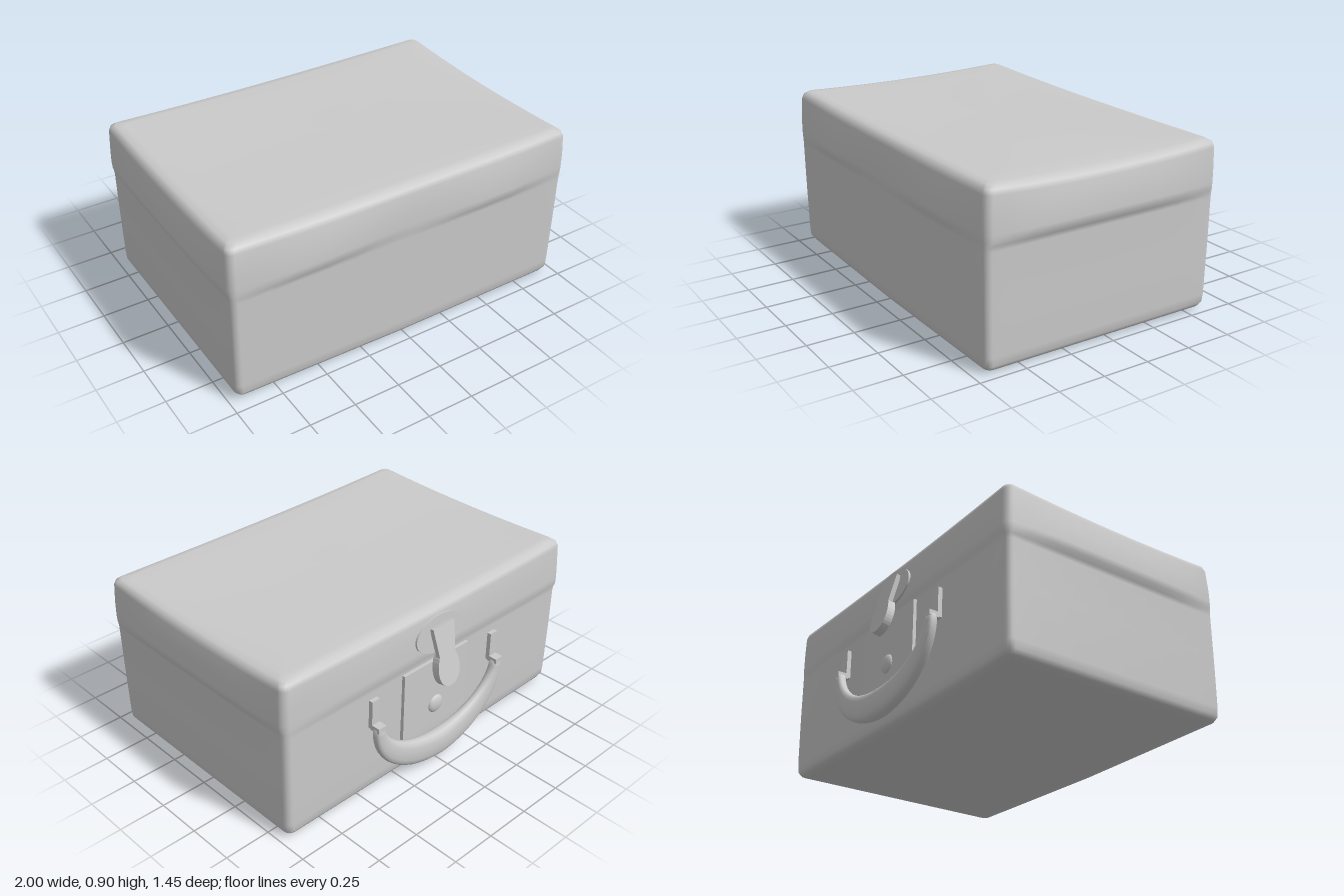
import * as THREE from 'three';

const grey = new THREE.MeshStandardMaterial({ color: 0xcacaca });
grey.name = 'grey';

// Smooth skin through rings of points that all have the same count
function loft(rings) {
  const n = rings[0].length, index = [];
  for (let i = 0; i < rings.length - 1; i++) {
    for (let j = 0; j < n; j++) {
      const a = i * n + j, b = i * n + (j + 1) % n;
      index.push(a, a + n, b, b, a + n, b + n);
    }
  }
  const g = new THREE.BufferGeometry();
  g.setAttribute('position', new THREE.Float32BufferAttribute(rings.flat(2), 3));
  g.setIndex(index);
  g.computeVertexNormals();
  return g;
}

// Rounded rectangle in plan, with points along each side
function planRing([y, hx, zb, zf, bulge = 0]) {
  const r = Math.min(0.035, hx * 0.5, (zf - zb) * 0.25), corners = [];
  const centres = [[hx - r, zf - r], [-hx + r, zf - r], [-hx + r, zb + r], [hx - r, zb + r]];
  centres.forEach(([cx, cz], k) => {
    const arc = [];
    for (let i = 0; i <= 4; i++) {
      const a = (k + i / 4) * Math.PI / 2;
      arc.push([cx + r * Math.cos(a), cz + r * Math.sin(a)]);
    }
    corners.push(arc);
  });
  const ring = [];
  corners.forEach((arc, k) => {
    ring.push(...arc);
    const p = arc[4], q = corners[(k + 1) % 4][0];
    for (let i = 1; i < 12; i++) {
      ring.push([p[0] + (q[0] - p[0]) * i / 12, p[1] + (q[1] - p[1]) * i / 12]);
    }
  });
  const zm = (zb + zf) / 2, hz = (zf - zb) / 2;
  return ring.map(([x, z]) => {
    // Lip swells along each side, fades at the corners and waves along the front
    const u = x / hx, v = (z - zm) / hz;
    const px = x + Math.sign(x) * bulge * u ** 8 * (1 - v ** 4);
    const swell = z > 0
      ? bulge * (0.6 - 0.4 * Math.cos(x * 5.5)) * (1 - u ** 4)
      : -bulge * 0.5 * (1 - Math.max(u, 0) ** 4);
    // Slightly worn: lifted bottom corners, raised top corners, one end dropped
    const w = ((z - 0.04) / 0.65) ** 2;
    let h = y;
    if (y < 0.1) h += 0.02 * Math.max(0, -x) + 0.006 * Math.max(0, x);
    if (y > 0.84) h += (x > 0 ? 0.01 : 0.018) * x * x * w - (x > 0.8 ? 0.012 * (1 - w) : 0);
    return [px, h, z + swell * v ** 8];
  });
}

function add(parent, name, geometry, x = 0, y = 0, z = 0) {
  const m = new THREE.Mesh(geometry, grey);
  m.name = name;
  m.position.set(x, y, z);
  parent.add(m);
  return m;
}

// Curved carrying handle, thick in the middle
function handleGeometry() {
  const rings = [], steps = 28;
  const square = v => Math.sign(v) * Math.abs(v) ** 0.75;
  for (let i = -1; i <= steps + 1; i++) {
    const t = Math.min(Math.max(i, 0), steps) / steps;
    const a = (t - 0.5) * Math.PI, c = Math.cos(a), s = Math.sin(a);
    const cap = i < 0 || i > steps ? 0.001 : 1;
    const tan = new THREE.Vector2(0.43 * c, 0.3 * s).normalize();
    const h = (0.026 + 0.05 * c) * cap, d = (0.026 + 0.018 * (1 - Math.abs(s))) * cap;
    const ring = [];
    for (let j = 0; j < 16; j++) {
      const b = j / 16 * Math.PI * 2, u = h * square(Math.cos(b));
      ring.push([
        -0.005 + 0.43 * s + tan.y * u,
        0.415 - 0.305 * c - tan.x * u,
        -0.664 - 0.004 * c + d * square(Math.sin(b)),
      ]);
    }
    rings.push(ring);
  }
  return loft(rings);
}

export function createModel() {
  const model = new THREE.Group();
  model.name = 'case';

  // Case body and lid: height, half width, back z, front z, lip swelling
  const profile = [
    [0.003, 0.0002, 0.0398, 0.0402], [0.003, 0.5, -0.3, 0.36], [0.005, 0.91, -0.56, 0.64],
    [0.012, 0.952, -0.598, 0.682], [0.035, 0.967, -0.612, 0.696], [0.08, 0.97, -0.615, 0.698],
    [0.35, 0.972, -0.619, 0.702], [0.6, 0.973, -0.62, 0.704], [0.625, 0.974, -0.62, 0.704, 0.004],
    [0.645, 0.976, -0.62, 0.704, 0.02], [0.68, 0.977, -0.62, 0.705, 0.023],
    [0.76, 0.977, -0.62, 0.704, 0.014], [0.85, 0.974, -0.619, 0.698, 0.005],
    [0.875, 0.968, -0.612, 0.688], [0.891, 0.948, -0.59, 0.667], [0.896, 0.91, -0.55, 0.63],
    [0.894, 0.8, -0.45, 0.52], [0.893, 0.4, -0.2, 0.26], [0.893, 0.0002, 0.0398, 0.0402],
  ];
  add(model, 'caseBody', loft(profile.map(planRing)));

  // Handle with its two mounts
  add(model, 'handle', handleGeometry());
  for (const side of [-1, 1]) {
    const x = -0.005 + side * 0.43;
    add(model, 'handleMount', new THREE.BoxGeometry(0.05, 0.16, 0.026), x, 0.485, -0.63);
    add(model, 'handleHook', new THREE.BoxGeometry(0.05, 0.03, 0.058), x, 0.415, -0.661);
  }

  // Lock plate and stud
  add(model, 'lockPlate', new THREE.BoxGeometry(0.46, 0.39, 0.024), -0.005, 0.405, -0.626);
  const stud = add(model, 'lockStud', new THREE.SphereGeometry(0.05, 16, 10), -0.005, 0.33, -0.637);
  stud.scale.z = 0.4;

  // Oval hinge plate, leaning with the lid
  const oval = new THREE.CylinderGeometry(1, 1, 0.03, 28).rotateX(Math.PI / 2).scale(0.165, 0.1, 1);
  add(model, 'hingePlate', oval, -0.015, 0.75, -0.623).rotation.x = 0.06;

  // Hasp sloping out from the hinge plate, with a rounded tongue
  const hasp = new THREE.Group();
  hasp.name = 'hasp';
  hasp.position.set(-0.02, 0.802, -0.655);
  hasp.rotation.x = 0.215;
  model.add(hasp);
  const strap = new THREE.Shape([[-0.075, 0], [-0.05, -0.2], [0.05, -0.2], [0.075, 0]]
    .map(p => new THREE.Vector2(...p)));
  add(hasp, 'haspStrap', new THREE.ExtrudeGeometry(strap, { depth: 0.025, bevelEnabled: false }));
  const tongue = new THREE.Shape();
  tongue.moveTo(-0.05, -0.15);
  tongue.bezierCurveTo(-0.095, -0.22, -0.08, -0.33, 0, -0.33);
  tongue.bezierCurveTo(0.08, -0.33, 0.095, -0.22, 0.05, -0.15);
  add(hasp, 'haspTongue', new THREE.ExtrudeGeometry(tongue, { depth: 0.042, bevelEnabled: false }));

  return model;
}
